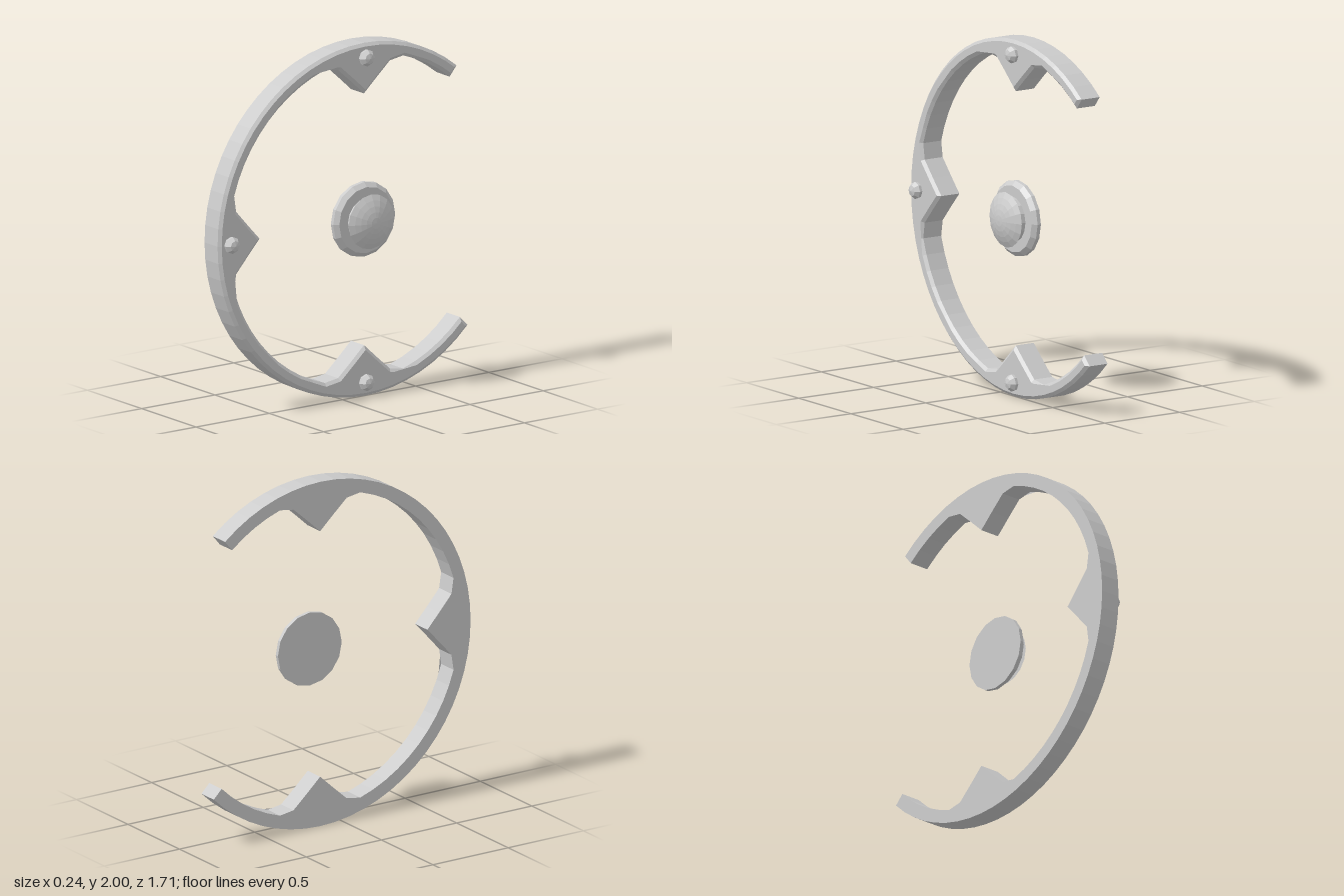
import * as THREE from 'three';

const CENTRE_Z = -0.147;
const RAD = Math.PI / 180;
const mat = new THREE.MeshStandardMaterial({ color: 0xcccccc, flatShading: true });

// Outline of the open ring with three inward teeth, counter-clockwise
function ringOutline() {
  const start = -39.2, end = 225, inner = 0.926, half = 16.75;
  const pts = [];
  const polar = (r, deg) => pts.push(new THREE.Vector2(-r * Math.sin(deg * RAD), r * Math.cos(deg * RAD)));
  const arc = (r, a, b) => {
    const n = Math.max(2, Math.round(Math.abs(b - a) / 5.6));
    for (let i = 0; i <= n; i++) polar(r, a + (b - a) * i / n);
  };
  const tooth = deg => {
    for (const [t, r] of [[0.177, 0.873], [0.087, 0.793], [0, 0.713], [-0.087, 0.793], [-0.177, 0.873]]) {
      polar(Math.hypot(t, r), deg + Math.atan2(t, r) / RAD);
    }
  };
  arc(1, start, end);
  let from = end;
  for (const deg of [180, 90, 0]) {
    arc(inner, from, deg + half);
    tooth(deg);
    from = deg - half;
  }
  arc(inner, from, start);
  return pts;
}

// Move every corner of an outline inward by d
function inset(pts, d) {
  const n = pts.length;
  const normal = (a, b) => new THREE.Vector2(a.y - b.y, b.x - a.x).normalize();
  return pts.map((p, i) => {
    const n1 = normal(pts[(i + n - 1) % n], p), n2 = normal(p, pts[(i + 1) % n]);
    return n1.clone().add(n2).multiplyScalar(d / (1 + n1.dot(n2))).add(p);
  });
}

// Plate with a flat back and a chamfered front edge
function chamferedPlate(outline, back, front, chamfer, width) {
  const n = outline.length;
  const layers = [[outline, back], [outline, front - chamfer], [inset(outline, width), front]];
  const pos = [], idx = [];
  for (const [pts, w] of layers) for (const p of pts) pos.push(p.x, p.y, w);
  for (let l = 0; l < 2; l++) {
    for (let i = 0; i < n; i++) {
      const a = l * n + i, b = l * n + (i + 1) % n;
      idx.push(a, b, b + n, a, b + n, a + n);
    }
  }
  for (const [a, b, c] of THREE.ShapeUtils.triangulateShape(outline, [])) {
    idx.push(c, b, a, a + 2 * n, b + 2 * n, c + 2 * n);
  }
  const geo = new THREE.BufferGeometry();
  geo.setAttribute('position', new THREE.Float32BufferAttribute(pos, 3));
  geo.setIndex(idx);
  const flat = geo.toNonIndexed();
  flat.computeVertexNormals();
  return flat.rotateY(Math.PI / 2);
}

// Turned part whose axis runs along x; profile is [radius, x]
function turned(name, profile, sides) {
  const geo = new THREE.LatheGeometry(profile.map(([r, x]) => new THREE.Vector2(r, x)), sides);
  const mesh = new THREE.Mesh(geo.rotateZ(-Math.PI / 2), mat);
  mesh.name = name;
  return mesh;
}

export function createModel() {
  const model = new THREE.Group();
  model.name = 'openRingWithHub';
  const body = new THREE.Group();
  body.name = 'ringAssembly';
  body.position.set(0, 1, CENTRE_Z);
  model.add(body);

  // Open toothed ring
  const ring = new THREE.Mesh(chamferedPlate(ringOutline(), -0.12, 0.015, 0.015, 0.018), mat);
  ring.name = 'toothedRing';
  body.add(ring);

  // One rivet on each tooth
  for (const deg of [0, 90, 180]) {
    const rivet = turned('rivet', [[0, 0.01], [0.045, 0.01], [0.048, 0.032], [0.03, 0.055], [0, 0.063]], 8);
    rivet.position.set(0, 0.92 * Math.cos(deg * RAD), 0.92 * Math.sin(deg * RAD));
    body.add(rivet);
  }

  // Central hub: base disc, neck and domed cap
  const hub = new THREE.Group();
  hub.name = 'hub';
  hub.add(turned('hubBase', [[0, -0.02], [0.212, -0.02], [0.212, 0.002], [0.187, 0.025], [0, 0.025]], 16));
  hub.add(turned('hubNeck', [[0.128, 0.02], [0.128, 0.075]], 16));
  const dome = [[0, 0.068], [0.155, 0.068]];
  for (let i = 1; i <= 5; i++) {
    const r = 0.155 * (1 - i / 5);
    dome.push([r, 0.068 + 0.048 * (1 - (r / 0.155) ** 2)]);
  }
  hub.add(turned('hubCap', dome, 16));
  body.add(hub);

  return model;
}
